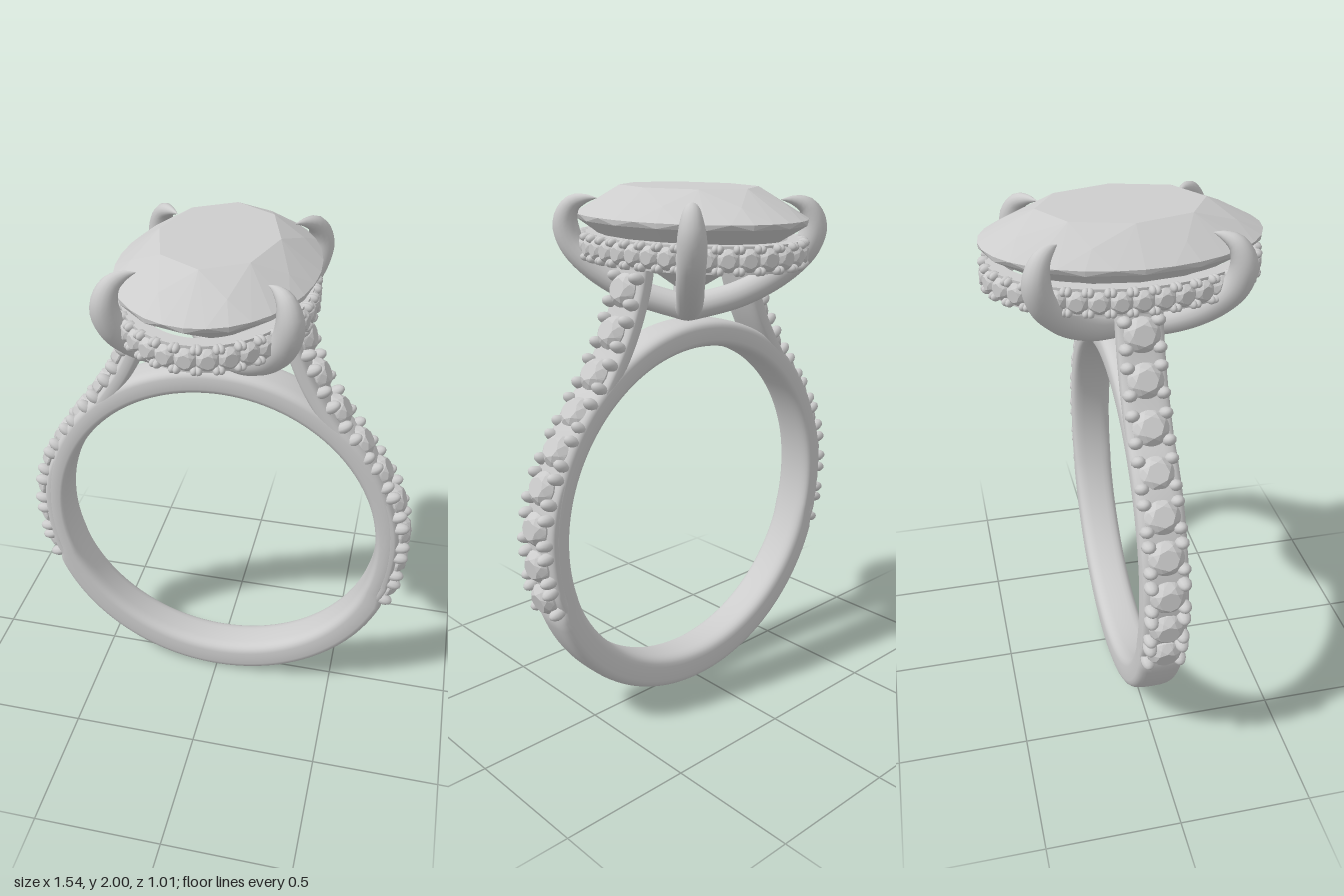
import * as THREE from 'three';
import { ConvexGeometry } from 'three/addons/geometries/ConvexGeometry.js';

const silver = new THREE.MeshStandardMaterial({ color: 0xcccccc });
silver.name = 'silver grey';
const V = (x, y, z) => new THREE.Vector3(x, y, z);

function mesh(name, geometry, parent) {
  const m = new THREE.Mesh(geometry, silver);
  m.name = name;
  parent.add(m);
  return m;
}

// Faceted brilliant cut: table, star points, girdle and culet
function brilliant(rx, rz, yTable, yStar, yGirdle, yLower, yCulet) {
  const pts = [V(0, yCulet, 0)];
  const ring = (n, r, y, shift = 0) => {
    for (let i = 0; i < n; i++) {
      const a = ((i + shift) / n) * Math.PI * 2;
      pts.push(V(Math.cos(a) * r * rx, y, Math.sin(a) * r * rz));
    }
  };
  ring(8, 0.6, yTable);
  ring(8, 0.82, yStar, 0.5);
  ring(32, 1, yGirdle);
  ring(16, 0.995, yLower);
  return new ConvexGeometry(pts);
}

// Rounded, nearly rectangular cross-section between an inner and outer point
function section(inner, outer, halfWidth, n = 28) {
  const mid = inner.clone().add(outer).multiplyScalar(0.5);
  const half = outer.clone().sub(inner).multiplyScalar(0.5);
  const pow = (c) => Math.sign(c) * Math.pow(Math.abs(c), 0.55);
  return Array.from({ length: n }, (_, i) => {
    const a = (i / n) * Math.PI * 2;
    const p = mid.clone().addScaledVector(half, pow(Math.cos(a)));
    p.z += halfWidth * pow(Math.sin(a));
    return p;
  });
}

// Skin a row of cross-sections
function loft(sections, closed) {
  const n = sections[0].length, rows = sections.length, index = [];
  for (let i = 0; i < (closed ? rows : rows - 1); i++) {
    for (let j = 0; j < n; j++) {
      const k = (j + 1) % n, r = ((i + 1) % rows) * n;
      const a = i * n + j, b = i * n + k, c = r + k, d = r + j;
      index.push(a, c, b, a, d, c);
    }
  }
  const g = new THREE.BufferGeometry().setFromPoints(sections.flat());
  g.setIndex(index);
  g.computeVertexNormals();
  return g;
}

// Small stone held by four corner beads, facing along the normal
const smallGem = brilliant(0.062, 0.064, 0.004, -0.008, -0.026, -0.032, -0.085);
const beadGeo = new THREE.SphereGeometry(1, 10, 8);
function setStone(name, point, tangent, normal, scale, parent) {
  const g = new THREE.Group();
  g.name = name;
  const side = tangent.clone().cross(normal);
  g.quaternion.setFromRotationMatrix(new THREE.Matrix4().makeBasis(tangent, normal, side));
  g.position.copy(point);
  g.scale.setScalar(scale);
  mesh('smallGem', smallGem, g);
  for (const sx of [-1, 1]) for (const sz of [-1, 1]) {
    const b = mesh('bead', beadGeo, g);
    b.position.set(sx * 0.046, -0.03, sz * 0.058);
    b.scale.set(0.022, 0.036, 0.026);
  }
  parent.add(g);
}

export function createModel() {
  const ring = new THREE.Group();
  ring.name = 'ring';

  // Band: thick at the bottom, slimmer under the side stones
  const outerRadius = (a) => {
    const c = -Math.cos(a); // -1 at the bottom, 1 at the top
    return c < -0.36 ? 0.745 + 0.025 * (-c - 0.36) / 0.64
      : c < -0.3 ? 0.745 - 0.03 * (c + 0.36) / 0.06
      : 0.715 + 0.025 * Math.max(0, c);
  };
  const bandSections = [];
  for (let i = 0; i < 128; i++) {
    const a = (i / 128) * Math.PI * 2;
    const at = (r) => V(Math.sin(a) * r, 0.77 - Math.cos(a) * r, 0);
    bandSections.push(section(at(0.635), at(outerRadius(a)), 0.085));
  }
  mesh('band', loft(bandSections, true), ring);

  // Shoulders rising from the band to the halo, each with nine stones
  const spots = [[0.735, 0.57], [0.758, 0.71], [0.758, 0.86], [0.72, 1.01], [0.65, 1.14],
    [0.565, 1.26], [0.475, 1.385], [0.395, 1.52], [0.34, 1.66]];
  for (const s of [1, -1]) {
    const shoulder = new THREE.Group();
    shoulder.name = s > 0 ? 'leftShoulder' : 'rightShoulder';
    const pts = [[0.70, 0.49], ...spots, [0.315, 1.77]].map(([x, y]) => V(s * x, y, 0));
    const curve = new THREE.CatmullRomCurve3(pts);
    const frame = (t) => {
      const tangent = curve.getTangent(t);
      return { p: curve.getPoint(t), tangent, normal: V(s * tangent.y, -s * tangent.x, 0) };
    };
    const rows = [];
    for (let i = 0; i <= 60; i++) {
      const { p, normal } = frame(i / 60);
      const inner = p.clone().addScaledVector(normal, i < 8 ? -0.08 : -0.1);
      const outer = p.clone().addScaledVector(normal, -0.034);
      rows.push(section(inner, outer, 0.083));
    }
    // Closed ends
    const cap = (row) => {
      const c = row.reduce((a, p) => a.add(p), V(0, 0, 0)).divideScalar(row.length);
      return row.map(() => c.clone());
    };
    rows.unshift(cap(rows[0]));
    rows.push(cap(rows[rows.length - 1]));
    if (s < 0) rows.reverse();
    mesh('shoulderRail', loft(rows, false), shoulder);
    spots.forEach((_, i) => {
      const { p, tangent, normal } = frame((i + 1) / (pts.length - 1));
      setStone('shoulderStone', p, tangent, normal, 1, shoulder);
    });
    ring.add(shoulder);
  }

  // Centre stone
  mesh('centreStone', brilliant(0.35, 0.5, 2, 1.947, 1.897, 1.878, 1.6), ring);

  // Oval halo with stones facing outwards
  const halo = new THREE.Group();
  halo.name = 'halo';
  const outline = new THREE.Shape().absellipse(0, 0, 0.328, 0.478, 0, Math.PI * 2);
  outline.holes.push(new THREE.Path().absellipse(0, 0, 0.275, 0.425, 0, Math.PI * 2, true));
  const rail = new THREE.ExtrudeGeometry(outline, { depth: 0.094, bevelEnabled: false, curveSegments: 48 });
  rail.rotateX(-Math.PI / 2).translate(0, 1.733, 0);
  mesh('haloRail', rail, halo);
  const count = 36;
  const oval = new THREE.EllipseCurve(0, 0, 0.349, 0.499);
  for (let i = 0; i < count; i++) {
    const p = oval.getPointAt(i / count), t = oval.getTangentAt(i / count);
    setStone('haloStone', V(p.x, 1.78, p.y), V(t.x, 0, t.y), V(t.y, 0, -t.x), 0.62, halo);
  }
  ring.add(halo);

  // Four claws meeting under the stone, tapering over its edge
  for (const sx of [-1, 1]) for (const sz of [-1, 1]) {
    const path = new THREE.CatmullRomCurve3([
      [0, 1.55, 0], [0.13, 1.61, 0.15], [0.235, 1.7, 0.265], [0.289, 1.79, 0.33],
      [0.303, 1.87, 0.345], [0.285, 1.93, 0.325], [0.25, 1.95, 0.29], [0.216, 1.952, 0.26],
    ].map(([x, y, z]) => V(sx * x, y, sz * z)));
    const steps = 40, sides = 16;
    const claw = new THREE.TubeGeometry(path, steps, 0.05, sides);
    const pos = claw.attributes.position, v = V(0, 0, 0);
    for (let i = 0; i < pos.count; i++) {
      const t = Math.floor(i / (sides + 1)) / steps;
      const k = t < 0.74 ? 1 : 1 - Math.pow((t - 0.74) / 0.26, 1.6);
      const c = path.getPointAt(t);
      v.fromBufferAttribute(pos, i).sub(c).multiplyScalar(k).add(c);
      pos.setXYZ(i, v.x, v.y, v.z);
    }
    mesh('claw', claw, ring);
  }
  return ring;
}
